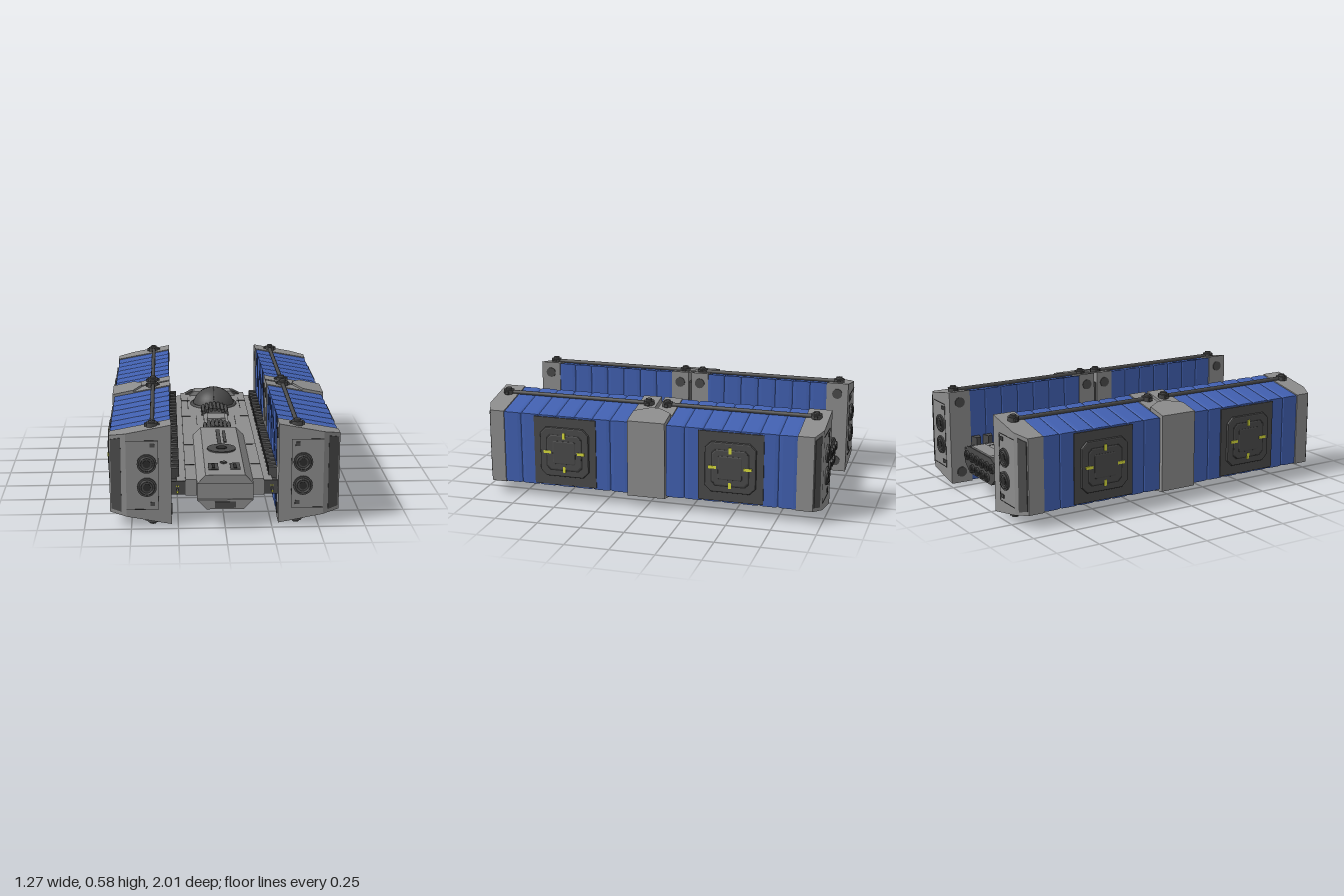
import * as THREE from 'three';

const paint = (name, color) => {
  const m = new THREE.MeshStandardMaterial({ color });
  m.name = name;
  return m;
};

export function createModel() {
  const gray = paint('hull gray', 0x8c8c8c);
  const dark = paint('dark metal', 0x4a4a4a);
  const black = paint('seam black', 0x2c2c2c);
  const blue = paint('container blue', 0x4160b0);
  const yellow = paint('marker yellow', 0xd8dc3c);
  const model = new THREE.Group();
  model.name = 'cargoShip';
  let parent = model;

  const group = (name) => {
    const g = new THREE.Group();
    g.name = name;
    model.add(g);
    return (parent = g);
  };
  const add = (name, geo, mat, x = 0, y = 0, z = 0) => {
    const m = new THREE.Mesh(geo, mat);
    m.name = name;
    m.position.set(x, y, z);
    parent.add(m);
    return m;
  };
  const box = (name, mat, x0, x1, y0, y1, z0, z1) =>
    add(name, new THREE.BoxGeometry(Math.abs(x1 - x0), y1 - y0, z1 - z0), mat, (x0 + x1) / 2, (y0 + y1) / 2, (z0 + z1) / 2);
  const shape = (pts) => new THREE.Shape(pts.map(([x, y]) => new THREE.Vector2(x, y)));
  // outline in x,y drawn out along z, with an optional bevel on both ends
  const prism = (pts, z0, z1, bevel = 0, bevelDepth = 0) => new THREE.ExtrudeGeometry(shape(pts), {
    depth: z1 - z0 - 2 * bevelDepth, bevelEnabled: bevel > 0, bevelSize: bevel,
    bevelOffset: -bevel, bevelThickness: bevelDepth, bevelSegments: 2,
  }).translate(0, 0, z0 + bevelDepth);
  // outline in x,z drawn out along y
  const plan = (pts, y0, y1) => new THREE.ExtrudeGeometry(shape(pts.map(([x, z]) => [x, -z])), {
    depth: y1 - y0, bevelEnabled: false,
  }).rotateX(-Math.PI / 2).translate(0, y0, 0);
  const warp = (geo, rule) => {
    const p = geo.attributes.position, v = new THREE.Vector3();
    for (let i = 0; i < p.count; i++) {
      rule(v.fromBufferAttribute(p, i));
      p.setXYZ(i, v.x, v.y, v.z);
    }
    geo.computeVertexNormals();
    return geo;
  };
  const tube = (name, mat, r0, r1, len, x, y, z, axis = 'z', seg = 20) => {
    const g = new THREE.CylinderGeometry(r1, r0, len, seg);
    if (axis === 'z') g.rotateX(Math.PI / 2);
    if (axis === 'x') g.rotateZ(-Math.PI / 2);
    return add(name, g, mat, x, y, z);
  };
  const nozzle = (x, y, z, r, d) => {
    tube('nozzleRim', dark, r, r, 0.02, x, y, z);
    add('nozzleRing', new THREE.TorusGeometry(r * 0.7, r * 0.12, 6, 20), dark, x, y, z + d * 0.01);
    tube('nozzleCore', black, r * 0.4, r * 0.4, 0.012, x, y, z + d * 0.006);
  };

  // ---- central hull ----
  group('hull');
  add('deckSlab', prism([[-0.21, 0.16], [0.21, 0.16], [0.21, 0.25], [-0.21, 0.25]], -0.93, 0.92), gray);
  add('foreDeck', prism([[-0.15, 0.25], [0.15, 0.25], [0.105, 0.298], [-0.105, 0.298]], 0.08, 1.0), gray);
  add('noseSlab', prism([[-0.15, 0.16], [0.15, 0.16], [0.15, 0.25], [-0.15, 0.25]], 0.9, 0.985), gray);
  const keel = [[-0.15, 0.16], [-0.1, 0.108], [0.1, 0.108], [0.15, 0.16]];
  add('foreKeel', prism(keel, 0.45, 1.0), gray);
  add('midKeel', prism([[-0.19, 0.16], [-0.16, 0.13], [0.16, 0.13], [0.19, 0.16]], -0.5, 0.45), gray);
  add('aftKeel', prism(keel, -0.9, -0.62), gray);
  box('noseSlot', dark, -0.055, 0.055, 0.116, 0.15, 0.99, 1.004);

  // fore deck fittings
  tube('deckDisc', dark, 0.08, 0.08, 0.012, 0, 0.3, 0.53, 'y', 28);
  tube('deckDiscHub', black, 0.03, 0.03, 0.016, 0, 0.302, 0.53, 'y');
  box('deckSlotLong', dark, -0.018, 0.004, 0.295, 0.302, 0.15, 0.44);
  box('deckSlotShort', dark, 0.018, 0.036, 0.295, 0.302, 0.17, 0.4);
  box('deckSensor', dark, -0.014, 0.014, 0.295, 0.306, 0.775, 0.803).rotation.y = 0.6;
  for (const s of [-1, 1]) {
    box('deckHatch', dark, s * 0.032, s * 0.086, 0.295, 0.302, 0.8, 0.91);
    box('hatchBar', black, s * 0.05, s * 0.066, 0.3, 0.305, 0.82, 0.89);
    for (const z of [-0.72, -0.34, 0.28, 0.66]) box('deckSeam', black, s * 0.155, s * 0.21, 0.249, 0.252, z, z + 0.005);
    box('deckSeam', black, s * 0.118, s * 0.121, 0.249, 0.252, -0.35, -0.15);
    box('deckSeam', black, s * 0.165, s * 0.169, 0.249, 0.252, -0.8, -0.52);
    for (const z of [-0.3, 0.05, 0.3]) box('keelSeam', black, s * 0.02, s * 0.15, 0.128, 0.131, z, z + 0.005);
  }

  // sensor dome and the ribbed drums in front of it
  const dome = new THREE.Vector3(0, 0.225, -0.65);
  add('dome', new THREE.SphereGeometry(0.135, 36, 24), dark, ...dome);
  add('domeSeam', new THREE.TorusGeometry(0.1345, 0.0018, 4, 40), black, ...dome);
  add('domeSeam', new THREE.TorusGeometry(0.1345, 0.0018, 4, 40), black, ...dome).rotation.y = Math.PI / 2;
  add('domeCollar', new THREE.TorusGeometry(0.138, 0.012, 8, 36), dark, 0, 0.25, -0.65).rotation.x = Math.PI / 2;
  for (const [z0, z1] of [[-0.51, -0.35], [-0.1, 0.06]]) {
    box('drumBed', dark, -0.085, 0.085, 0.25, 0.262, z0, z1);
    for (let i = 0; i < 7; i++) tube('drumPipe', dark, 0.011, 0.011, z1 - z0, -0.072 + i * 0.024, 0.27 + 0.018 * Math.sin((i / 6) * Math.PI), (z0 + z1) / 2, 'z', 10);
  }
  box('deckSpine', gray, -0.075, 0.075, 0.25, 0.262, -0.36, -0.1);
  box('deckBlock', gray, -0.055, 0.055, 0.25, 0.285, -0.28, -0.16);

  // stern block with two rows of small nozzles
  add('sternBlock', prism([[-0.15, 0.25], [0.15, 0.25], [0.12, 0.28], [-0.12, 0.28]], -0.935, -0.85), gray);
  add('sternPlate', prism([[-0.2, 0.165], [-0.14, 0.115], [0.14, 0.115], [0.2, 0.165], [0.2, 0.24], [0.14, 0.272], [-0.14, 0.272], [-0.2, 0.24]], -0.942, -0.88), dark);
  for (let i = 0; i < 6; i++) nozzle(-0.16 + i * 0.064, 0.215, -0.943, 0.027, -1);
  for (let i = 0; i < 4; i++) nozzle(-0.096 + i * 0.064, 0.15, -0.943, 0.024, -1);

  // ---- container pods, one on each side ----
  for (const s of [1, -1]) {
    group(s > 0 ? 'leftPod' : 'rightPod');
    const m = (pts) => pts.map(([x, y]) => [x * s, y]);

    // docking rail with clamps between hull and pod
    box('dockRail', gray, s * 0.205, s * 0.258, 0.17, 0.238, -0.9, 0.91);
    box('dockRailOuter', dark, s * 0.258, s * 0.29, 0.175, 0.225, -0.9, 0.91);
    box('railEnd', dark, s * 0.21, s * 0.285, 0.165, 0.24, 0.91, 0.92);
    for (const x of [0.245, 0.255]) box('railMarker', yellow, s * x, s * (x + 0.006), 0.21, 0.216, 0.92, 0.923);
    for (let i = 0; i < 23; i++) {
      const z = -0.83 + i * 0.0747;
      add('clamp', plan(m([[0.242, z - 0.014], [0.288, z - 0.026], [0.288, z + 0.026], [0.242, z + 0.014]]), 0.15, 0.285), dark);
    }
    box('prong', dark, s * 0.248, s * 0.258, 0.19, 0.2, 0.9, 0.965);
    box('prongTip', yellow, s * 0.248, s * 0.258, 0.19, 0.2, 0.965, 0.973);

    // section heights: flat inner wall, narrower outer wall
    const hi = (x) => 0.565 - (x - 0.285) * 0.19, lo = (x) => 0.015 + (x - 0.285) * 0.19;
    const section = (x0, x1, inset = 0) =>
      m([[x0, lo(x0) + inset], [x1, lo(x1) + inset], [x1, hi(x1) - inset], [x0, hi(x0) - inset]]);

    for (const [a, b] of [[0.1, 0.85], [-0.865, -0.12]]) {
      // ribbed blue container
      const n = 7, step = (b - a) / n, mid = (a + b) / 2;
      for (let i = 0; i < n; i++)
        add('containerRib', prism(section(0.289, 0.61, 0.004), a + i * step, a + (i + 1) * step, 0.006, 0.022), blue);

      // outer hatch panel
      box('sidePanel', dark, s * 0.6, s * 0.617, 0.09, 0.49, mid - 0.185, mid + 0.185);
      const ring = (r, c) => [[-r, -r + c], [-r + c, -r], [r - c, -r], [r, -r + c], [r, r - c], [r - c, r], [-r + c, r], [-r, r - c]];
      const plate = (name, r, c, x, mat) =>
        add(name, prism(ring(r, c), -0.02, 0, 0.008, 0.006).rotateY(s * Math.PI / 2), mat, s * x, 0.29, mid);
      plate('hatchRim', 0.145, 0.035, 0.631, dark);
      plate('hatchSeam', 0.112, 0.025, 0.6325, black);
      plate('hatchPlate', 0.105, 0.025, 0.6345, dark);
      plate('hatchCore', 0.07, 0.008, 0.637, dark);
      for (const k of [-1, 1]) {
        box('hatchMarker', yellow, s * 0.63, s * 0.6365, 0.29 + k * 0.1 - 0.017, 0.29 + k * 0.1 + 0.017, mid - 0.008, mid + 0.008);
        box('hatchMarker', yellow, s * 0.63, s * 0.6365, 0.282, 0.298, mid + k * 0.1 - 0.022, mid + k * 0.1 + 0.022);
      }

      // tie rods above and below
      for (const k of [-1, 1]) {
        const y = 0.29 + k * 0.263;
        tube('tieRod', dark, 0.012, 0.012, b - a + 0.13, s * 0.385, y, mid, 'z', 12);
        for (const e of [a - 0.055, b + 0.055]) {
          tube('rodFoot', dark, 0.032, 0.032, 0.036, s * 0.385, y - k * 0.004, e, 'y', 8);
          tube('rodKnob', dark, 0.018, 0.018, 0.05, s * 0.385, y, e, 'y', 10);
          box('rodPin', dark, s * 0.345, s * 0.425, y - 0.008, y + 0.008, e - 0.01, e + 0.01);
        }
      }
    }

    // end caps, with the outer strip swept back
    for (const [d, z0, z1] of [[1, 0.845, 0.965], [-1, -0.86, -0.99]]) {
      const near = Math.min(z0, z1), far = Math.max(z0, z1);
      const swept = (pts, a, b) => warp(prism(pts, a, b), (v) => {
        if (Math.abs(v.z) > 0.9) v.z -= d * (Math.abs(v.x) - 0.525) * 0.42;
      });
      add('endCap', prism(section(0.285, 0.525), near, far), gray);
      add('endCapEdge', swept(section(0.525, 0.614), near, far), gray);
      add('endStrip', swept(m([[0.552, 0.085], [0.607, 0.098], [0.607, 0.482], [0.552, 0.495]]), z1 - 0.004, z1 + 0.004), dark);
      for (const y of [0.225, 0.355]) nozzle(s * 0.415, y, z1, 0.052, d);
      for (const y of [0.13, 0.455]) box('endVent', dark, s * 0.373, s * 0.398, y - 0.011, y + 0.011, z1 - 0.004, z1 + 0.004);
      box('endSeam', black, s * 0.353, s * 0.356, 0.1, 0.48, z1 - 0.002, z1 + 0.002);
      for (const y of [0.1, 0.48]) box('endSeam', black, s * 0.353, s * 0.525, y - 0.0015, y + 0.0015, z1 - 0.002, z1 + 0.002);
      for (const y of [0.08, 0.5]) tube('capPort', dark, 0.03, 0.03, 0.008, s * 0.284, y, (z0 + z1) / 2, 'x');
    }

    // middle caps and the wedge that joins the two containers
    for (const [a, b] of [[0, 0.105], [-0.125, -0.02]]) {
      add('middleCap', prism(section(0.285, 0.5), a, b), gray);
      for (const y of [0.08, 0.5]) tube('capPort', dark, 0.03, 0.03, 0.008, s * 0.284, y, (a + b) / 2, 'x');
    }
    box('middleCore', dark, s * 0.3, s * 0.5, 0.06, 0.5, -0.03, 0.01);
    const wedge = plan(m([[0.45, -0.035], [0.5, -0.115], [0.622, -0.115], [0.622, 0.102], [0.5, 0.102], [0.45, 0.015]]), 0, 1);
    add('middleWedge', warp(wedge, (v) => {
      const top = 0.546 - (Math.abs(v.x) - 0.45) * 0.21;
      v.y = v.y > 0.5 ? top : 0.58 - top;
    }), gray);
  }
  return model;
}
